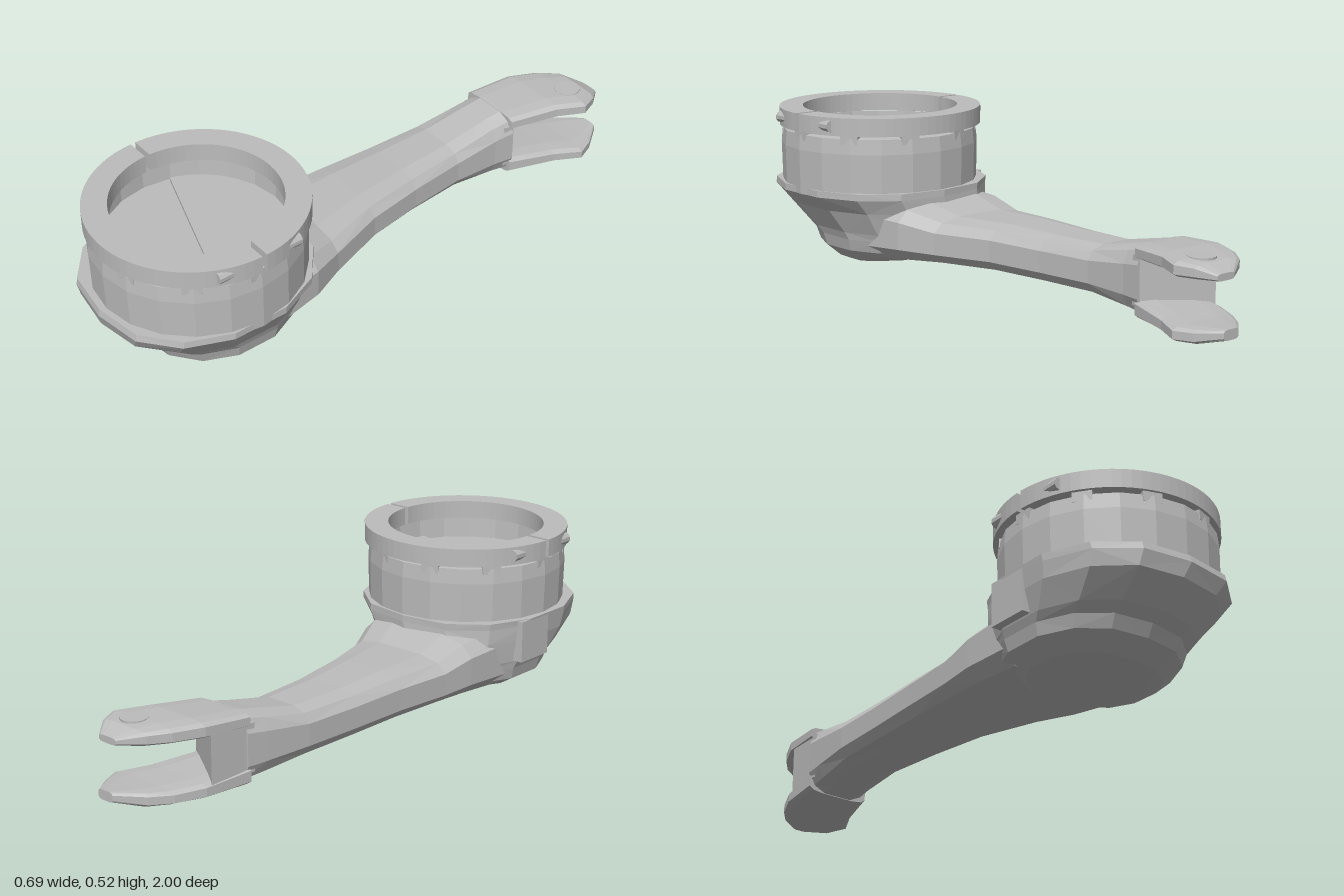
import * as THREE from 'three';

const CZ = 0.64; // centre of the clamp head along z

const metal = new THREE.MeshStandardMaterial({ color: 0xbcbcbc, flatShading: true });
metal.name = 'grey metal';

// Faceted body from rounded sections [t, u0, u1, v0, v1]; t runs along z, or along y if upright
function loft(sections, sides, power, upright = false) {
  const pos = [], idx = [];
  const put = (u, v, t) => (upright ? pos.push(u, t, v) : pos.push(u, v, t));
  const tri = (a, b, c) => (upright ? idx.push(a, c, b) : idx.push(a, b, c));
  const bend = (s) => Math.sign(s) * Math.pow(Math.abs(s), power);
  sections.forEach(([t, u0, u1, v0, v1]) => {
    for (let i = 0; i < sides; i++) {
      const a = ((i + 0.5) / sides) * Math.PI * 2;
      const k = 1 / bend(Math.cos(Math.PI / sides));
      put((u0 + u1) / 2 + ((u1 - u0) / 2) * Math.max(-1, Math.min(1, bend(Math.cos(a)) * k)),
        (v0 + v1) / 2 + ((v1 - v0) / 2) * Math.max(-1, Math.min(1, bend(Math.sin(a)) * k)), t);
    }
  });
  const last = sections.length - 1;
  for (let j = 0; j < last; j++) {
    for (let i = 0; i < sides; i++) {
      const n = (i + 1) % sides;
      const a = j * sides + i, b = j * sides + n, c = b + sides, d = a + sides;
      // alternate the diagonal for an irregular faceted look
      if ((i + j) % 2) { tri(a, b, c); tri(a, c, d); } else { tri(a, b, d); tri(b, c, d); }
    }
  }
  [0, last].forEach((j) => {
    const [t, u0, u1, v0, v1] = sections[j];
    const mid = pos.length / 3;
    put((u0 + u1) / 2, (v0 + v1) / 2, t);
    for (let i = 0; i < sides; i++) {
      const a = j * sides + i, b = j * sides + ((i + 1) % sides);
      if (j) tri(mid, a, b); else tri(mid, b, a);
    }
  });
  const g = new THREE.BufferGeometry();
  g.setAttribute('position', new THREE.Float32BufferAttribute(pos, 3));
  g.setIndex(idx);
  g.computeVertexNormals();
  return g;
}

// Flat shape drawn in (x, -z), raised by depth
function slab(shape, depth) {
  return new THREE.ExtrudeGeometry(shape, { depth, bevelEnabled: false, curveSegments: 18 })
    .rotateX(-Math.PI / 2);
}

export function createModel() {
  const model = new THREE.Group();
  const add = (name, geometry, x = 0, y = 0, z = 0) => {
    const m = new THREE.Mesh(geometry, metal);
    m.name = name;
    m.position.set(x, y, z);
    model.add(m);
    return m;
  };

  // Arm, from fork end to head
  add('arm', loft([
    [-0.63, -0.21, 0.01, 0.015, 0.245],
    [-0.56, -0.22, 0.0, 0.022, 0.23],
    [-0.4, -0.24, -0.005, 0.04, 0.197],
    [-0.2, -0.25, 0.015, 0.042, 0.195],
    [0.0, -0.26, 0.05, 0.045, 0.2],
    [0.2, -0.275, 0.115, 0.042, 0.2],
    [0.32, -0.285, 0.17, 0.035, 0.235],
    [0.5, -0.29, 0.2, 0.02, 0.25],
  ], 12, 0.6));

  // Fork prongs
  add('upperProng', loft([
    [-0.98, -0.03, 0.04, 0.2, 0.222],
    [-0.93, -0.105, 0.08, 0.2, 0.247],
    [-0.87, -0.15, 0.105, 0.2, 0.253],
    [-0.78, -0.19, 0.06, 0.2, 0.255],
    [-0.62, -0.212, 0.01, 0.195, 0.244],
  ], 12, 0.5));
  add('lowerProng', loft([
    [-1.0, -0.03, 0.03, 0.03, 0.062],
    [-0.93, -0.105, 0.08, 0.012, 0.06],
    [-0.87, -0.15, 0.105, 0.012, 0.06],
    [-0.78, -0.19, 0.06, 0.014, 0.066],
    [-0.62, -0.212, 0.01, 0.014, 0.08],
  ], 12, 0.5));
  add('pinHead', new THREE.CylinderGeometry(0.043, 0.043, 0.03, 16), 0, 0.24, -0.88);

  // Slanted back wall of the fork slot
  const web = new THREE.Shape([[-0.208, 0.6], [0.0, 0.6], [0.005, 0.635], [-0.19, 0.76]]
    .map(([x, y]) => new THREE.Vector2(x, y)));
  add('forkWeb', slab(web, 0.155), 0, 0.055, 0);

  // Rough bowl under the head
  add('bowl', loft([
    [0.003, -0.1, 0.13, 0.52, 0.7],
    [0.02, -0.23, 0.17, 0.42, 0.77],
    [0.06, -0.295, 0.215, 0.34, 0.84],
    [0.1, -0.305, 0.225, 0.32, 0.86],
    [0.125, -0.315, 0.235, 0.31, 0.9],
    [0.2, -0.335, 0.28, 0.3, 0.98],
    [0.25, -0.342, 0.325, 0.3, 0.995],
    [0.272, -0.345, 0.325, 0.3, 0.99],
  ], 14, 0.9, true));
  add('sideLug', new THREE.BoxGeometry(0.05, 0.14, 0.14), -0.319, 0.2, 0.58);

  // Hollow cup with its floor
  const cup = [[0.33, 0.25], [0.333, 0.4], [0.328, 0.45], [0.295, 0.455], [0.29, 0.385], [0, 0.385]]
    .map(([r, y]) => new THREE.Vector2(r, y));
  add('cup', new THREE.LatheGeometry(cup, 20), 0, 0, CZ);

  // Raised half of the floor, cut on a diagonal
  const half = new THREE.Shape();
  half.absarc(0, 0, 0.285, 0, Math.PI, false);
  add('floorStep', slab(half, 0.012), 0, 0.384, CZ + 0.01).rotation.y = -0.33;

  // Short tabs between cup and clamp
  for (let i = 0; i < 10; i++) {
    const a = (i / 10) * Math.PI * 2 + 0.3;
    const tab = add('tab', new THREE.BoxGeometry(0.06, 0.035, 0.03),
      0.312 * Math.sin(a), 0.448, CZ + 0.312 * Math.cos(a));
    tab.rotation.y = a;
  }

  // Split clamp ring: two halves with a gap on each side
  for (const side of [0, 1]) {
    const s = new THREE.Shape();
    s.absarc(0, 0, 0.341, 0.024, Math.PI - 0.024, false);
    s.absarc(0, 0, 0.262, Math.PI - 0.03, 0.03, true);
    add(side ? 'frontClampHalf' : 'backClampHalf', slab(s, 0.06), 0, 0.462, CZ - 0.005)
      .rotation.y = side * Math.PI;
  }

  // Clamp screws, lying across both gaps
  for (const x of [-0.308, 0.308]) {
    for (const end of [-1, 1]) {
      const screw = add('clampScrew', new THREE.CylinderGeometry(0.02, 0.02, 0.09, 10),
        x, 0.493, CZ - 0.005 + end * 0.1);
      screw.rotation.x = Math.PI / 2;
    }
  }
  return model;
}
